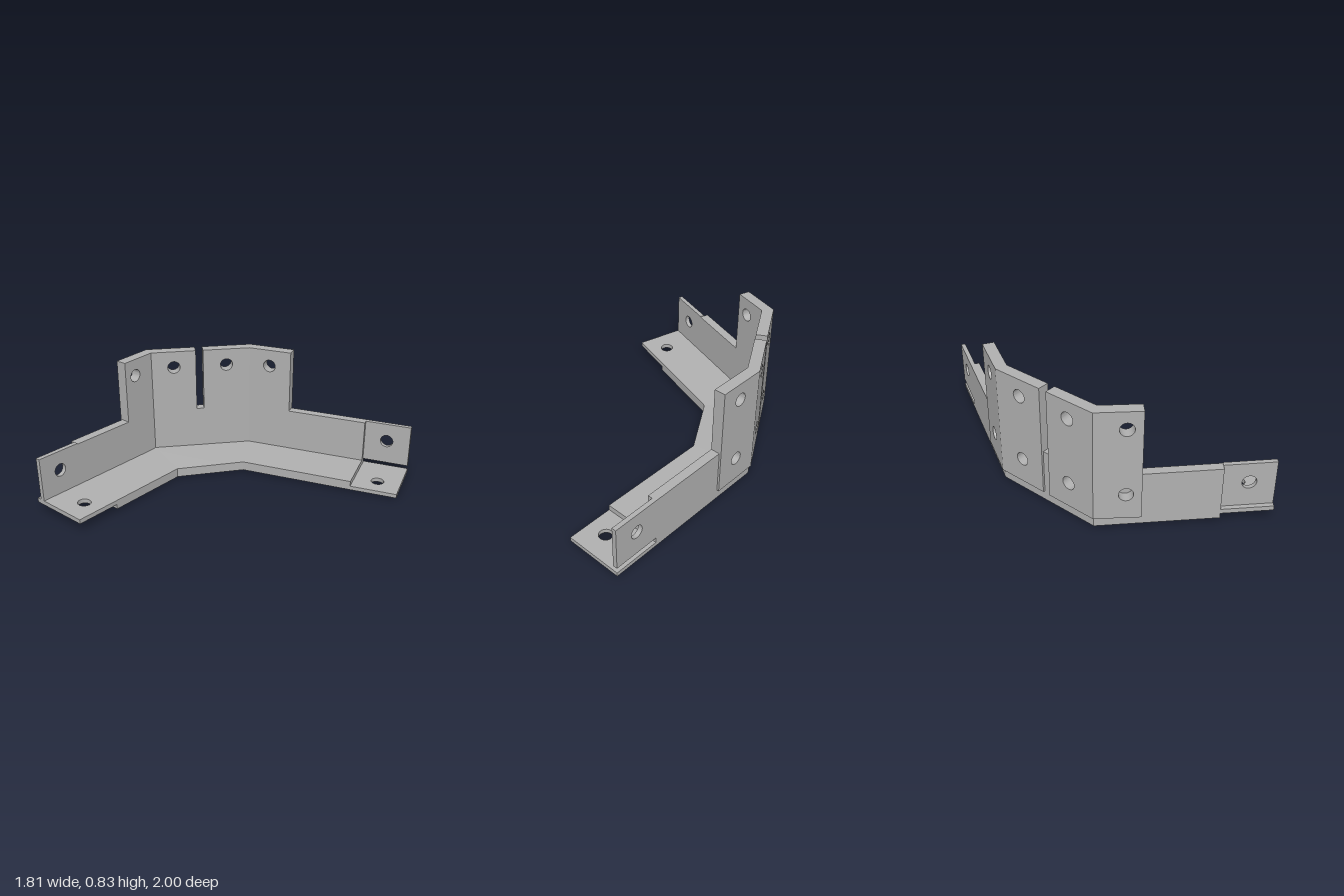
import * as THREE from 'three';
import { toCreasedNormals } from 'three/addons/utils/BufferGeometryUtils.js';

const V = (x, z) => new THREE.Vector2(x, z);
// plan lines (x, z): inner face of the wall, and free edge of the floor
const WALL = [V(-0.83, 1), V(-0.83, -0.065), V(-0.345, -0.585), V(0.809, -0.94)];
const EDGE = [V(-0.487, 1), V(-0.49, 0.07), V(-0.17, -0.29), V(0.905, -0.615)];
const T = 0.063, PLATE = 0.077, HALF = 0.031, SKIN = 0.006, TAB = 0.325, R = 0.045;
const FLOOR = 0.065, LOW = 0.367, TOP = 0.83;

const segs = [0, 1, 2].map(i => {
  const d = WALL[i + 1].clone().sub(WALL[i]);
  const len = d.length();
  d.divideScalar(len);
  return { a: WALL[i], d, n: V(d.y, -d.x), len };
});
const mitre = i => Math.tan(Math.acos(segs[i].d.dot(segs[i + 1].d)) / 2);
const K = [0, mitre(0), mitre(1), 0];
const at = (i, u, w) => segs[i].a.clone().addScaledVector(segs[i].d, u).addScaledVector(segs[i].n, w);

// the first arm rises gently away from the bend
function lift(i, x, z) {
  if (i === 0) return 0.034 * (z - 0.07) + 0.035 * (-0.49 - x);
  return Math.min(0.01, 0.02 * Math.hypot(x + 0.49, z - 0.07));
}

function extrude(points, holes, depth) {
  const shape = new THREE.Shape(points);
  for (const [x, y] of holes) {
    const h = new THREE.Path();
    h.absarc(x, y, R, 0, Math.PI * 2, true);
    shape.holes.push(h);
  }
  return new THREE.ExtrudeGeometry(shape, { depth, bevelEnabled: false, curveSegments: 16 });
}

export function createModel() {
  const group = new THREE.Group();
  const steel = new THREE.MeshStandardMaterial({ color: 0xb0b0b0 });
  steel.name = 'steel grey';

  function add(name, geo) {
    const mesh = new THREE.Mesh(toCreasedNormals(geo, 0.5), steel);
    mesh.name = name;
    group.add(mesh);
  }

  function eachVertex(geo, fn) {
    const p = geo.attributes.position, v = new THREE.Vector3();
    for (let j = 0; j < p.count; j++) {
      v.fromBufferAttribute(p, j);
      fn(v);
      p.setXYZ(j, v.x, v.y, v.z);
    }
  }

  // upright slab on segment i, u0..u1 along it, w0..w1 outward, mitred at the bends
  function wall(name, i, u0, u1, y0, y1, w0, w1, holes = [], lifted = true) {
    const s = segs[i];
    const geo = extrude([V(u0, y0), V(u1, y0), V(u1, y1), V(u0, y1)], holes, w1 - w0);
    geo.translate(0, 0, -w1);
    eachVertex(geo, v => {
      const w = -v.z;
      let u = v.x;
      if (Math.abs(u) < 1e-5) u -= K[i] * w;
      else if (Math.abs(u - s.len) < 1e-5) u += K[i + 1] * w;
      const p = at(i, u, w);
      v.set(p.x, v.y + (lifted ? lift(i, p.x, p.y) : 0.01), p.y);
    });
    add(name, geo);
  }

  // flat slab from plan points
  function floor(name, i, pts, y0, y1, holes = []) {
    const geo = extrude(pts.map(p => V(p.x, -p.y)), holes.map(([x, z]) => [x, -z]), y1 - y0);
    geo.rotateX(-Math.PI / 2);
    eachVertex(geo, v => { v.y += y0 + lift(i, v.x, v.z); });
    add(name, geo);
  }

  const [L0, L1, L2] = segs.map(s => s.len);

  // floor, with half-thickness lap tabs at both ends
  const outer = [at(0, 0, T), at(0, L0 + K[1] * T, T), at(1, L1 + K[2] * T, T), at(2, L2, T)];
  const stepA = [V(outer[0].x, 1 - TAB), V(-0.488, 1 - TAB)];
  const back = segs[2].d.clone().multiplyScalar(-TAB);
  const stepB = [outer[3].clone().add(back), EDGE[3].clone().add(back)];
  floor('firstArmFloor', 0, [stepA[0], stepA[1], EDGE[1], outer[1]], 0, FLOOR);
  floor('firstFloorTab', 0, [outer[0], EDGE[0], stepA[1], stepA[0]], FLOOR - HALF, FLOOR, [[-0.625, 0.835]]);
  floor('middleFloor', 1, [outer[1], EDGE[1], EDGE[2], outer[2]], 0, FLOOR);
  floor('secondArmFloor', 2, [outer[2], EDGE[2], stepB[1], stepB[0]], 0, FLOOR);
  floor('secondFloorTab', 2, [stepB[0], stepB[1], EDGE[3], outer[3]], 0, HALF - 0.003, [[0.71, -0.7]]);

  // tall plates: through holes above, blind holes below
  const plates = [
    ['firstPlate', 0, 0.805, L0, 0.9],
    ['middlePlateA', 1, 0, 0.32, 0.16],
    ['middlePlateB', 1, 0.373, L1, 0.543],
    ['secondPlate', 2, 0, 0.314, 0.155],
  ];
  for (const [name, i, u0, u1, u] of plates) {
    const high = [u, 0.7], low = [u, 0.24];
    wall(name, i, u0, u1, FLOOR, TOP - 0.01, SKIN, PLATE, [high, low], false);
    wall(name + 'InnerFace', i, u0, u1, FLOOR, TOP - 0.01, 0, SKIN, [high], false);
  }

  // low walls of the arms and across the slot, with lap tabs at the ends
  wall('firstArmWall', 0, TAB, 0.805, FLOOR, LOW, 0, T);
  wall('firstWallTab', 0, 0.0001, TAB, FLOOR, LOW + 0.005, 0, HALF, [[0.16, 0.235]]);
  wall('slotWall', 1, 0.32, 0.373, FLOOR, LOW, 0, T);
  wall('secondArmWall', 2, 0.314, L2 - TAB, FLOOR, LOW, 0, T);
  wall('secondWallTab', 2, L2 - TAB, L2, FLOOR, LOW, T - HALF, T, [[L2 - 0.165, 0.235]]);

  return group;
}
